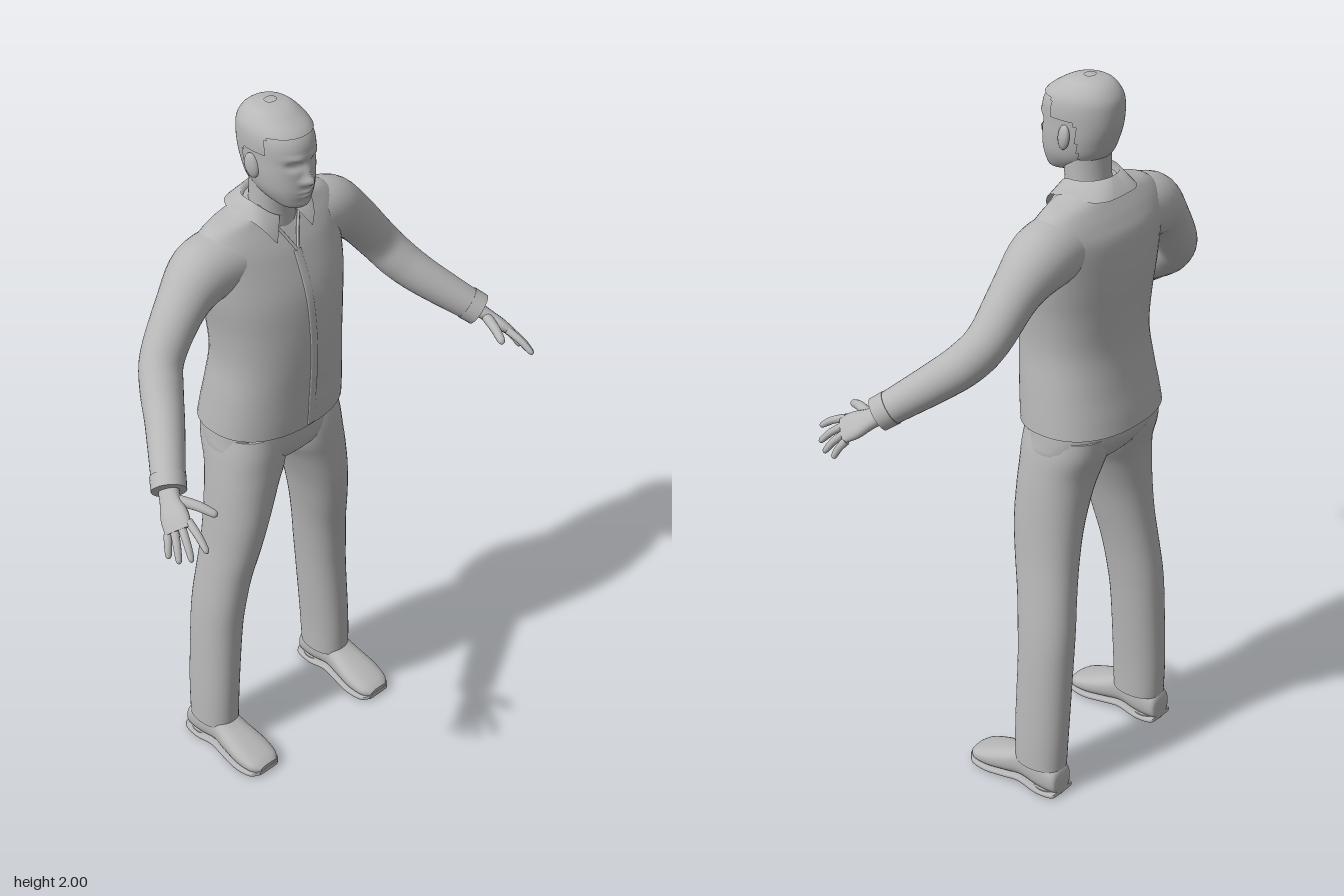
import * as THREE from 'three';

const V = (x, y, z) => new THREE.Vector3(x, y, z);
const grey = new THREE.MeshStandardMaterial({ color: 0xb8b8b8 });
grey.name = 'plain grey';
const greyThin = grey.clone();
greyThin.side = THREE.DoubleSide;
greyThin.name = 'plain grey';

// Smoothly resample a few cross-section rows
function resample(rows, steps) {
  const out = [], last = rows.length - 1;
  for (let i = 0; i < last; i++) for (let k = 0; k < steps; k++) {
    const t = k / steps, p0 = rows[Math.max(i - 1, 0)], p1 = rows[i], p2 = rows[i + 1], p3 = rows[Math.min(i + 2, last)];
    out.push(p1.map((b, j) => {
      const a = p0[j], c = p2[j], d = p3[j];
      return 0.5 * (2 * b + (c - a) * t + (2 * a - 5 * b + 4 * c - d) * t * t + (3 * b - a - 3 * c + d) * t * t * t);
    }));
  }
  out.push(rows[last]);
  return out;
}

// Skin superellipse rings {c,u,v}; u x v points along the loft. Ends are capped.
function loft(rings, seg = 32, n = 2, keep = null, deform = null) {
  const pos = [], idx = [], pw = (s) => Math.sign(s) * Math.abs(s) ** (2 / n);
  for (const { c, u, v } of rings) for (let j = 0; j < seg; j++) {
    const t = j / seg * Math.PI * 2;
    const p = c.clone().addScaledVector(u, pw(Math.cos(t))).addScaledVector(v, pw(Math.sin(t)));
    if (deform) deform(p);
    pos.push(p.x, p.y, p.z);
  }
  const at = (k) => V(pos[k * 3], pos[k * 3 + 1], pos[k * 3 + 2]);
  for (let i = 0; i < rings.length - 1; i++) for (let j = 0; j < seg; j++) {
    const a = i * seg + j, b = i * seg + (j + 1) % seg, c = a + seg, d = b + seg;
    if (!keep || keep(at(a).add(at(d)).multiplyScalar(0.5))) idx.push(a, b, c, b, d, c);
  }
  if (!keep) for (const end of [0, rings.length - 1]) {
    const base = pos.length / 3, mid = rings[end].c;
    for (let j = 0; j < seg; j++) pos.push(...at(end * seg + j).toArray());
    pos.push(mid.x, mid.y, mid.z);
    for (let j = 0; j < seg; j++) {
      const a = base + j, b = base + (j + 1) % seg;
      idx.push(base + seg, end ? a : b, end ? b : a);
    }
  }
  const g = new THREE.BufferGeometry();
  g.setAttribute('position', new THREE.Float32BufferAttribute(pos, 3));
  g.setIndex(idx);
  g.computeVertexNormals();
  return g;
}

// Level rings from rows [y, xMin, xMax, zFront, zBack], listed upwards
const stack = (rows, steps = 5) => resample(rows, steps).map(([y, x0, x1, zf, zb]) => ({
  c: V((x0 + x1) / 2, y, (zf + zb) / 2), u: V((x1 - x0) / 2, 0, 0), v: V(0, 0, -(zf - zb) / 2),
}));
const even = (rows) => rows.map(([y, w, zf, zb]) => [y, -w, w, zf, zb]);

// Tapered limb along points [x, y, z, radiusU, radiusV]
function limb(points, { ref = V(0, 1, 0), steps = 5, seg = 24, n = 2 } = {}) {
  const s = resample(points, steps);
  return loft(s.map((p, i) => {
    const a = s[Math.max(i - 1, 0)], b = s[Math.min(i + 1, s.length - 1)];
    const d = V(b[0] - a[0], b[1] - a[1], b[2] - a[2]).normalize();
    const u = ref.clone().cross(d).normalize(), v = d.clone().cross(u);
    return { c: V(p[0], p[1], p[2]), u: u.multiplyScalar(p[3]), v: v.multiplyScalar(p[4]) };
  }), seg, n);
}

function mirrored(geo) {
  const g = geo.clone().scale(-1, 1, 1), ix = g.index.array;
  for (let i = 0; i < ix.length; i += 3) [ix[i], ix[i + 1]] = [ix[i + 1], ix[i]];
  g.computeVertexNormals();
  return g;
}

export function createModel() {
  const model = new THREE.Group();
  const add = (name, geo, mat = grey) => {
    const m = new THREE.Mesh(geo, mat);
    m.name = name;
    model.add(m);
  };
  const pair = (name, geo, mat) => {
    add('left' + name, geo, mat);
    add('right' + name, mirrored(geo), mat);
  };

  // Shirt body, neck and hips
  add('shirt', loft(stack(even([
    [1.085, 0.207, 0.032, -0.28], [1.13, 0.203, 0.036, -0.272], [1.2, 0.196, 0.04, -0.257], [1.3, 0.186, 0.045, -0.242],
    [1.4, 0.193, 0.041, -0.245], [1.5, 0.21, 0.025, -0.25], [1.6, 0.222, -0.013, -0.245], [1.65, 0.225, -0.04, -0.225],
    [1.69, 0.185, -0.065, -0.2], [1.712, 0.11, -0.07, -0.185], [1.73, 0.075, -0.075, -0.175]])), 48, 2.3));
  add('neck', loft(stack(even([[1.66, 0.07, -0.05, -0.175], [1.72, 0.062, -0.05, -0.168],
    [1.77, 0.06, -0.045, -0.165], [1.83, 0.06, -0.05, -0.165]]))));
  add('trouserHips', loft(stack(even([[0.955, 0.06, -0.05, -0.15], [0.975, 0.15, -0.015, -0.2], [1.01, 0.2, 0, -0.232],
    [1.06, 0.202, 0.004, -0.26], [1.12, 0.195, 0.005, -0.255]])), 40, 2.3));

  // Shirt front edge and open neckline
  add('placket', limb([[0, 1.61, -0.017, 0.012, 0.003], [0, 1.5, 0.025, 0.012, 0.003], [0, 1.4, 0.041, 0.012, 0.003],
    [0, 1.3, 0.045, 0.012, 0.003], [0, 1.2, 0.04, 0.012, 0.003], [0, 1.09, 0.032, 0.012, 0.003]], { ref: V(0, 0, 1), seg: 12, n: 4 }));
  pair('NecklineEdge', limb([[0.045, 1.69, -0.058, 0.004, 0.004], [0.022, 1.65, -0.038, 0.004, 0.004],
    [0, 1.608, -0.015, 0.004, 0.004]], { ref: V(0, 0, 1), seg: 8 }));

  // Folded collar with two points in front
  const cp = [], ci = [], N = 48;
  for (let i = 0; i <= N; i++) {
    const a = 0.35 + (Math.PI * 2 - 0.7) * i / N, s = Math.sin(a), f = Math.cos(a), fr = Math.max(0, f);
    const root = Math.sign(s) * Math.sqrt(Math.abs(s));
    cp.push(0.07 * s, 1.725 - 0.05 * fr * fr, -0.115 + 0.06 * f);
    cp.push(0.08 * s, 1.75 - 0.05 * fr * fr, -0.115 + 0.068 * f);
    cp.push(0.104 * root, 1.708 - 0.075 * fr ** 4, -0.118 + 0.1 * f);
    if (i < N) for (let k = 0; k < 2; k++) {
      const q = i * 3 + k;
      ci.push(q, q + 3, q + 1, q + 1, q + 3, q + 4);
    }
  }
  const collar = new THREE.BufferGeometry();
  collar.setAttribute('position', new THREE.Float32BufferAttribute(cp, 3));
  collar.setIndex(ci);
  collar.computeVertexNormals();
  add('collar', collar, greyThin);

  // Head, with the face pushed in and out by soft bumps [x, y, sizeX, sizeY, depth]
  const bumps = [[0, 1.827, 0.013, 0.013, 0.02], [0, 1.85, 0.009, 0.022, 0.011], [0.034, 1.872, 0.017, 0.011, -0.012],
    [0.034, 1.873, 0.009, 0.006, 0.005], [0.03, 1.893, 0.025, 0.008, 0.005], [0, 1.796, 0.02, 0.005, 0.007],
    [0, 1.783, 0.017, 0.005, 0.007], [0, 1.756, 0.02, 0.01, 0.005], [0.017, 1.824, 0.007, 0.007, 0.006]];
  const face = (p) => {
    if (p.z < -0.05) return;
    let dz = 0;
    for (const [x, y, sx, sy, d] of bumps)
      dz += d * Math.exp(-(((Math.abs(p.x) - x) / sx) ** 2) - ((p.y - y) / sy) ** 2);
    p.z += dz;
  };
  const headRows = [[1.742, 0.015, -0.005, -0.05], [1.748, 0.037, 0.006, -0.07], [1.77, 0.056, 0.015, -0.13],
    [1.8, 0.07, 0.02, -0.165], [1.84, 0.077, 0.02, -0.183], [1.88, 0.079, 0.02, -0.195], [1.92, 0.08, 0.017, -0.198],
    [1.95, 0.075, 0, -0.194], [1.975, 0.06, -0.035, -0.178], [1.99, 0.042, -0.065, -0.155], [1.997, 0.012, -0.1, -0.12]];
  add('head', loft(stack(even(headRows), 8), 72, 2.15, null, face));
  const hairRows = headRows.map(([y, w, zf, zb]) => [y + 0.003, w + 0.004, zf + 0.003, zb - 0.004]);
  add('hair', loft(stack(even(hairRows), 8), 72, 2.15,
    (p) => p.y > 1.945 || (p.z < -0.05 && p.y > 1.9) || (p.z < -0.125 && p.y > 1.795)), greyThin);
  const ear = new THREE.SphereGeometry(1, 16, 12).scale(0.011, 0.034, 0.02).rotateX(-0.2).rotateY(-0.3).translate(0.081, 1.855, -0.093);
  pair('Ear', ear);

  // Sleeve and cuff
  pair('Sleeve', limb([[0.14, 1.6, -0.13, 0.09, 0.085], [0.225, 1.585, -0.132, 0.084, 0.086], [0.305, 1.525, -0.122, 0.066, 0.064],
    [0.385, 1.425, -0.104, 0.057, 0.057], [0.425, 1.365, -0.065, 0.055, 0.056], [0.47, 1.31, -0.005, 0.05, 0.052],
    [0.56, 1.222, 0.105, 0.042, 0.042]], { seg: 32 }));
  pair('Cuff', limb([[0.543, 1.239, 0.083, 0.046, 0.046], [0.563, 1.219, 0.109, 0.045, 0.045]]));

  // Hand: palm, four fingers and thumb
  const across = V(-0.04, 0.035, 0.045).normalize(), thick = V(0.72, 0.56, 0.2).normalize();
  const palm = resample([[0.553, 1.228, 0.095, 0.028, 0.022], [0.574, 1.206, 0.125, 0.028, 0.018],
    [0.592, 1.184, 0.16, 0.038, 0.017], [0.607, 1.165, 0.19, 0.037, 0.012]], 5);
  pair('Palm', loft(palm.map(([x, y, z, w, t]) => ({
    c: V(x, y, z), u: across.clone().multiplyScalar(-w), v: thick.clone().multiplyScalar(t),
  })), 20, 2.4));
  const fingers = [
    ['IndexFinger', [0.582, 1.186, 0.2], [0.595, 1.14, 0.281]], ['MiddleFinger', [0.599, 1.174, 0.193], [0.625, 1.115, 0.257]],
    ['RingFinger', [0.612, 1.161, 0.181], [0.641, 1.102, 0.228]], ['LittleFinger', [0.622, 1.149, 0.167], [0.645, 1.1, 0.193]],
    ['Thumb', [0.563, 1.208, 0.14], [0.52, 1.19, 0.237]]];
  for (const [name, a, b] of fingers) {
    const r = name === 'Thumb' ? 0.013 : 0.01;
    const rows = [[0, 1.1], [0.5, 1], [0.85, 0.85], [0.96, 0.6], [1, 0.15]].map(([t, k]) =>
      [...a.map((v, i) => v + (b[i] - v) * t + (i === 1 ? 0.025 * t * (1 - t) : 0)), r * k, r * k]);
    pair(name, limb(rows, { seg: 12, steps: 3 }));
  }

  // Trouser legs
  pair('TrouserLeg', loft(stack([
    [0.08, 0.165, 0.28, -0.055, -0.207], [0.2, 0.16, 0.277, -0.053, -0.212], [0.4, 0.143, 0.266, -0.053, -0.214],
    [0.5, 0.132, 0.258, -0.046, -0.213], [0.6, 0.117, 0.246, -0.034, -0.206], [0.7, 0.096, 0.234, -0.015, -0.2],
    [0.8, 0.07, 0.226, -0.002, -0.2], [0.9, 0.033, 0.218, 0, -0.207], [0.96, 0.005, 0.212, 0, -0.218],
    [1.02, 0.003, 0.205, -0.002, -0.238], [1.07, 0.015, 0.195, -0.01, -0.245]]), 40, 2.2));

  // Shoes: rows [z, centreX, halfWidth, bottom, top], from heel to toe
  const shoe = [[-0.21, 0.226, 0.026, 0.012, 0.055], [-0.2, 0.226, 0.04, 0.006, 0.085], [-0.15, 0.226, 0.046, 0.005, 0.11],
    [-0.09, 0.226, 0.045, 0.016, 0.11], [-0.04, 0.226, 0.051, 0.012, 0.088], [0.02, 0.225, 0.057, 0.006, 0.066],
    [0.07, 0.224, 0.05, 0.006, 0.046], [0.092, 0.223, 0.03, 0.012, 0.032]];
  const along = (rows) => resample(rows, 5).map(([z, x, w, y0, y1]) => ({
    c: V(x, (y0 + y1) / 2, z), u: V(w, 0, 0), v: V(0, (y1 - y0) / 2, 0),
  }));
  pair('Shoe', loft(along(shoe), 32, 2.5));
  pair('Sole', loft(along(shoe.map(([z, x, w, y]) => [z * 1.01, x, w + 0.005, y - 0.005, y + 0.009])), 24, 5));
  pair('Heel', new THREE.CylinderGeometry(0.042, 0.042, 0.016, 24).scale(1, 1, 1.1).translate(0.226, 0.008, -0.162));

  return model;
}
